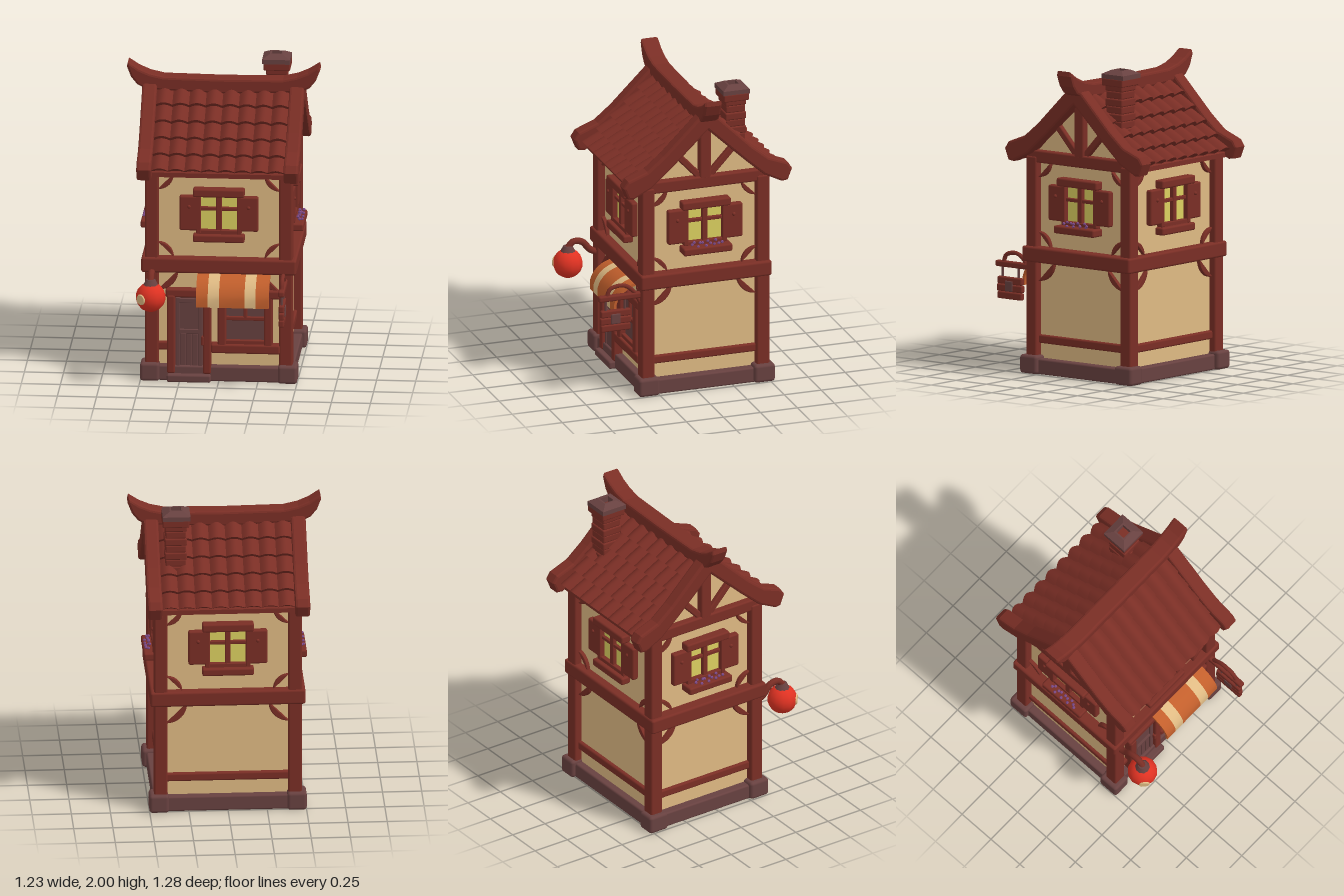
import * as THREE from 'three';
import { toCreasedNormals } from 'three/addons/utils/BufferGeometryUtils.js';
import { RoundedBoxGeometry } from 'three/addons/geometries/RoundedBoxGeometry.js';

const mat = (name, color, side = THREE.FrontSide) => {
  const m = new THREE.MeshStandardMaterial({ color, side });
  m.name = name;
  return m;
};
const M = {
  wood: mat('red brown wood', 0x7a2e25, THREE.DoubleSide),
  plaster: mat('cream plaster', 0xdfba83, THREE.DoubleSide),
  stone: mat('brown stone', 0x684140),
  glass: mat('yellow glass', 0xdcd060),
  orange: mat('awning orange', 0xc25f2c, THREE.DoubleSide),
  red: mat('lantern red', 0xe03222),
  purple: mat('flower purple', 0x7d4a86),
};
const C = -0.07;   // depth of the ridge line

function add(parent, name, geo, material, x = 0, y = 0, z = 0) {
  const m = new THREE.Mesh(geo, material);
  m.name = name;
  m.position.set(x, y, z);
  parent.add(m);
  return m;
}
// softened box given by its limits
function box(parent, name, material, x0, x1, y0, y1, z0, z1, r = 0.012) {
  const w = x1 - x0, h = y1 - y0, d = z1 - z0;
  const geo = new RoundedBoxGeometry(w, h, d, 2, Math.min(r, w / 3, h / 3, d / 3));
  return add(parent, name, geo, material, (x0 + x1) / 2, (y0 + y1) / 2, (z0 + z1) / 2);
}
// symmetric outline from its right half: upper edge outwards, then lower edge inwards
function mirrored(half) {
  const left = half.filter(p => p[0] > 0).reverse().map(([a, b]) => [-a, b]);
  return new THREE.Shape([...half, ...left].map(p => new THREE.Vector2(...p)));
}
function extrude(shape, depth, bevel = 0) {
  const geo = new THREE.ExtrudeGeometry(shape, {
    depth: depth - 2 * bevel, bevelEnabled: bevel > 0, bevelSize: bevel, bevelThickness: bevel,
    bevelOffset: -bevel, bevelSegments: 2, curveSegments: 8,
  });
  return geo.translate(0, 0, bevel - depth / 2);
}
const alongX = (half, depth, bevel) => extrude(mirrored(half), depth, bevel).rotateY(-Math.PI / 2);

// one roof slope: five stepped rows of humped tiles
function tileSlope() {
  const rows = 5, cols = 8, sub = 8, n = cols * sub, profile = [], pos = [], idx = [];
  for (let k = 0; k < rows; k++) {
    const d0 = 0.03 + k * 0.092;
    profile.push([d0, 0.005], [d0 + 0.046, 0.022], [d0 + 0.092, 0.036]);
  }
  profile.push([0.47, -0.03]);
  profile.forEach(([d, off], j) => {
    for (let i = 0; i <= n; i++) {
      const hump = j === profile.length - 1 ? 0.02 : 0.03;
      const o = 0.71 * (off + hump * Math.abs(Math.sin(Math.PI * i / sub)));
      pos.push(-0.425 + 0.85 * i / n, 1.84 - 0.95 * d + 0.1 * d * d + o, d + o);
    }
  });
  for (let j = 0; j < profile.length - 1; j++)
    for (let i = 0; i < n; i++) {
      const a = j * (n + 1) + i, b = a + n + 1;
      idx.push(a, b, a + 1, b, b + 1, a + 1);
    }
  const geo = new THREE.BufferGeometry();
  geo.setAttribute('position', new THREE.Float32BufferAttribute(pos, 3));
  geo.setIndex(idx);
  return toCreasedNormals(geo, 0.7);
}

// shuttered window facing +z, centred on the wall
function shutterWindow(flowers) {
  const g = new THREE.Group();
  g.name = 'shutteredWindow';
  box(g, 'windowPane', M.glass, -0.13, 0.13, -0.12, 0.12, 0, 0.009, 0.001);
  box(g, 'lintel', M.wood, -0.165, 0.165, 0.12, 0.175, 0, 0.07);
  box(g, 'sill', M.wood, -0.165, 0.165, -0.18, -0.13, 0, flowers ? 0.1 : 0.07);
  box(g, 'mullion', M.wood, -0.018, 0.018, -0.13, 0.12, 0, 0.035, 0.005);
  box(g, 'glazingBar', M.wood, -0.12, 0.12, 0.022, 0.045, 0, 0.03, 0.005);
  box(g, 'bottomBar', M.wood, -0.13, 0.13, -0.135, -0.105, 0, 0.04, 0.005);
  for (const s of [-1, 1]) {
    box(g, 'windowJamb', M.wood, s * 0.13 - 0.015, s * 0.13 + 0.015, -0.13, 0.12, 0, 0.045, 0.006);
    box(g, 'shutter', M.wood, s * 0.19 - 0.062, s * 0.19 + 0.062, -0.11, 0.12, 0, 0.045);
    add(g, 'shutterHeart', new THREE.SphereGeometry(0.013, 8, 6), M.wood, s * 0.19, 0.05, 0.043);
  }
  if (flowers) for (let i = 0; i < 12; i++)
    add(g, 'flower', new THREE.IcosahedronGeometry(0.011), M.purple,
      -0.1 + 0.018 * i, -0.115 + 0.012 * Math.sin(i * 2.3), 0.07 + 0.015 * Math.sin(i * 4.1));
  return g;
}

function addBody(house) {
  box(house, 'walls', M.plaster, -0.42, 0.42, 0.05, 1.42, -0.45, 0.31, 0.005);
  box(house, 'baseBeam', M.stone, -0.475, 0.475, 0, 0.1, -0.5, 0.36);
  box(house, 'lowRail', M.wood, -0.44, 0.44, 0.195, 0.25, -0.475, 0.335);
  box(house, 'middleBeam', M.wood, -0.495, 0.495, 0.72, 0.82, -0.51, 0.375, 0.015);
  box(house, 'topBeam', M.wood, -0.465, 0.465, 1.36, 1.44, -0.5, 0.36);
  for (const s of [-1, 1]) for (const t of [-1, 1]) {
    const x = s * 0.428, z = C + t * 0.388;
    box(house, 'cornerPost', M.wood, x - 0.043, x + 0.043, 0.05, 1.4, z - 0.043, z + 0.043);
    const cx = s * 0.44, cz = C + t * 0.39;
    box(house, 'cornerStone', M.stone, cx - 0.062, cx + 0.062, 0, 0.12, cz - 0.07, cz + 0.07, 0.02);
  }
  // windows and rounded corner braces on all four sides
  for (let f = 0; f < 4; f++) {
    const side = f % 2, out = side ? 0.42 : 0.38, hw = side ? 0.35 : 0.39;
    const face = new THREE.Group();
    face.name = 'wallFace';
    face.position.z = C;
    face.rotation.y = f * Math.PI / 2;
    const win = shutterWindow(side === 1);
    win.position.set(0, 1.11, out);
    face.add(win);
    for (const s of [-1, 1])
      for (const [y, up, r] of [[0.815, 1, 0.1], [1.365, -1, 0.1], [0.725, -1, 0.13]]) {
        const shape = new THREE.Shape().moveTo(0, 0);
        const a0 = s < 0 ? (up > 0 ? 0 : -Math.PI / 2) : (up > 0 ? Math.PI / 2 : Math.PI);
        shape.absarc(0, 0, r, a0, a0 + Math.PI / 2, false);
        add(face, 'cornerBrace', extrude(shape, 0.03, 0.006), M.wood, s * hw, y, out + 0.01);
      }
    house.add(face);
  }
}

function addRoof(house) {
  add(house, 'gableWall', alongX([[0, 1.8], [0.4, 1.4], [0, 1.4]], 0.84), M.plaster, 0, 0, C);
  add(house, 'roofBoards', alongX([[0, 1.83], [0.48, 1.4], [0.48, 1.37], [0.4, 1.42], [0, 1.77]], 0.86), M.wood, 0, 0, C);
  for (const a of [0, Math.PI])
    add(house, 'roofTiles', tileSlope(), M.wood, 0, 0, C).rotation.y = a;
  const barge = [[0, 1.88], [0.06, 1.86], [0.3, 1.625], [0.41, 1.535], [0.54, 1.485], [0.57, 1.44],
    [0.54, 1.365], [0.5, 1.36], [0.38, 1.42], [0.25, 1.535], [0, 1.77]];
  const ridge = [[0, 1.9], [0.38, 1.905], [0.47, 1.925], [0.54, 1.955], [0.61, 2], [0.617, 1.97],
    [0.59, 1.9], [0.55, 1.85], [0.49, 1.82], [0, 1.8]];
  add(house, 'ridgeBeam', extrude(mirrored(ridge), 0.12, 0.015), M.wood, 0, 0, C);
  for (const s of [-1, 1]) {
    add(house, 'bargeBoard', alongX(barge, 0.095, 0.015), M.wood, s * 0.47, 0, C);
    box(house, 'gablePost', M.wood, s * 0.435 - 0.03, s * 0.435 + 0.03, 1.42, 1.82, C - 0.038, C + 0.038);
    for (const t of [-1, 1]) {
      const b = add(house, 'gableBrace', new RoundedBoxGeometry(0.04, 0.28, 0.045, 2, 0.01), M.wood, s * 0.43, 1.53, C + t * 0.12);
      b.rotation.x = t * 0.75;
    }
  }
  // chimney with uneven brick courses
  for (let i = 0; i < 8; i++) {
    const w = 0.066 + (i % 2) * 0.005, y = 1.53 + i * 0.048;
    box(house, 'chimneyCourse', M.wood, 0.325 - w, 0.325 + w, y, y + 0.05, -0.3 - w, -0.3 + w, 0.01);
  }
  box(house, 'chimneyCollar', M.wood, 0.24, 0.41, 1.9, 1.95, -0.385, -0.215, 0.008);
  const cap = new THREE.LatheGeometry([[0.125, 1.945], [0.125, 1.975], [0.06, 2], [0.045, 2], [0.045, 1.955]]
    .map(p => new THREE.Vector2(...p)), 4).rotateY(Math.PI / 4);
  add(house, 'chimneyCap', toCreasedNormals(cap, 0.3), M.stone, 0.32, 0, -0.3);
  box(house, 'chimneyHole', M.wood, 0.28, 0.36, 1.94, 1.96, -0.34, -0.26, 0.002);
}

function addShopFront(house) {
  // door
  box(house, 'doorStep', M.stone, -0.33, -0.05, 0, 0.05, 0.3, 0.4);
  box(house, 'door', M.stone, -0.285, -0.095, 0.05, 0.56, 0.3, 0.337, 0.004);
  for (const x of [-0.305, -0.075])
    box(house, 'doorPost', M.wood, x - 0.026, x + 0.026, 0.05, 0.57, 0.3, 0.37);
  for (const x of [-0.262, -0.119])
    box(house, 'doorStile', M.stone, x - 0.013, x + 0.013, 0.06, 0.55, 0.33, 0.35, 0.004);
  for (const y of [0.325, 0.53])
    box(house, 'doorRail', M.stone, -0.27, -0.11, y - 0.015, y + 0.015, 0.33, 0.35, 0.004);
  for (let i = 0; i < 3; i++)
    box(house, 'doorPlank', M.stone, -0.245 + i * 0.038, -0.211 + i * 0.038, 0.07, 0.31, 0.33, 0.345, 0.004);
  box(house, 'doorHandle', M.wood, -0.112, -0.092, 0.24, 0.3, 0.34, 0.37, 0.006);
  box(house, 'shopHeader', M.wood, -0.34, 0.39, 0.555, 0.61, 0.3, 0.365);
  // shop window
  box(house, 'shopPane', M.stone, 0.03, 0.31, 0.24, 0.56, 0.3, 0.325, 0.003);
  for (const x of [0.02, 0.315])
    box(house, 'shopPost', M.wood, x - 0.027, x + 0.027, 0.2, 0.57, 0.3, 0.365);
  box(house, 'shopSill', M.wood, -0.05, 0.39, 0.19, 0.25, 0.3, 0.37);
  box(house, 'shopBottomBar', M.wood, 0.03, 0.31, 0.245, 0.275, 0.3, 0.35, 0.006);
  box(house, 'shopMiddleBar', M.wood, 0.03, 0.31, 0.405, 0.43, 0.3, 0.345, 0.006);
  box(house, 'shopMullion', M.wood, 0.157, 0.18, 0.42, 0.57, 0.3, 0.345, 0.006);
  // striped awning, a curved sheet
  const outline = new THREE.Shape().moveTo(0.34, 0.725);
  outline.quadraticCurveTo(0.47, 0.7, 0.5, 0.59).lineTo(0.5, 0.535).lineTo(0.485, 0.535).lineTo(0.485, 0.585);
  outline.quadraticCurveTo(0.455, 0.68, 0.34, 0.705);
  const edges = [-0.135, -0.06, 0.012, 0.175, 0.245, 0.33];
  for (let i = 0; i < 5; i++) {
    const w = edges[i + 1] - edges[i];
    const geo = toCreasedNormals(extrude(outline, w).rotateY(-Math.PI / 2), 0.6);
    add(house, 'awningStripe', geo, i % 2 ? M.plaster : M.orange, edges[i] + w / 2);
  }
}

function addHangings(house) {
  // round lantern on a curved arm
  const arm = new THREE.CatmullRomCurve3([[0.34, 0.66], [0.4, 0.69], [0.45, 0.745], [0.51, 0.755], [0.55, 0.715]]
    .map(([z, y]) => new THREE.Vector3(-0.42, y, z)));
  add(house, 'lanternArm', new THREE.TubeGeometry(arm, 16, 0.022, 8), M.wood);
  add(house, 'lantern', new THREE.SphereGeometry(0.096, 12, 9), M.red, -0.42, 0.613, 0.547);
  add(house, 'lanternCap', new THREE.CylinderGeometry(0.03, 0.05, 0.04, 10), M.stone, -0.42, 0.71, 0.547);
  const spot = add(house, 'lanternSpot', new THREE.CylinderGeometry(0.032, 0.036, 0.008, 10), M.plaster, -0.479, 0.613, 0.618);
  spot.rotation.set(Math.PI / 2, 0, 0);
  spot.rotation.z = 0.7;
  // hanging sign board
  box(house, 'signArm', M.wood, 0.4, 0.44, 0.655, 0.695, 0.34, 0.64);
  const strut = new THREE.CatmullRomCurve3([[0.36, 0.63], [0.4, 0.7], [0.47, 0.75], [0.56, 0.735], [0.58, 0.69]]
    .map(([z, y]) => new THREE.Vector3(0.42, y, z)));
  add(house, 'signScroll', new THREE.TubeGeometry(strut, 16, 0.014, 8), M.wood);
  for (let i = 0; i < 3; i++)
    box(house, 'signPlank', M.wood, 0.403, 0.437, 0.45 + i * 0.048, 0.497 + i * 0.048, 0.425 - 0.004 * (i % 2), 0.625 + 0.005 * (i % 2), 0.01);
  for (const z of [0.46, 0.59])
    add(house, 'signHanger', new THREE.CylinderGeometry(0.008, 0.008, 0.09, 8), M.stone, 0.42, 0.625, z);
  box(house, 'signPlate', M.stone, 0.398, 0.442, 0.5, 0.57, 0.495, 0.56, 0.008);
}

export function createModel() {
  const house = new THREE.Group();
  house.name = 'timberShopHouse';
  addBody(house);
  addRoof(house);
  addShopFront(house);
  addHangings(house);
  return house;
}
